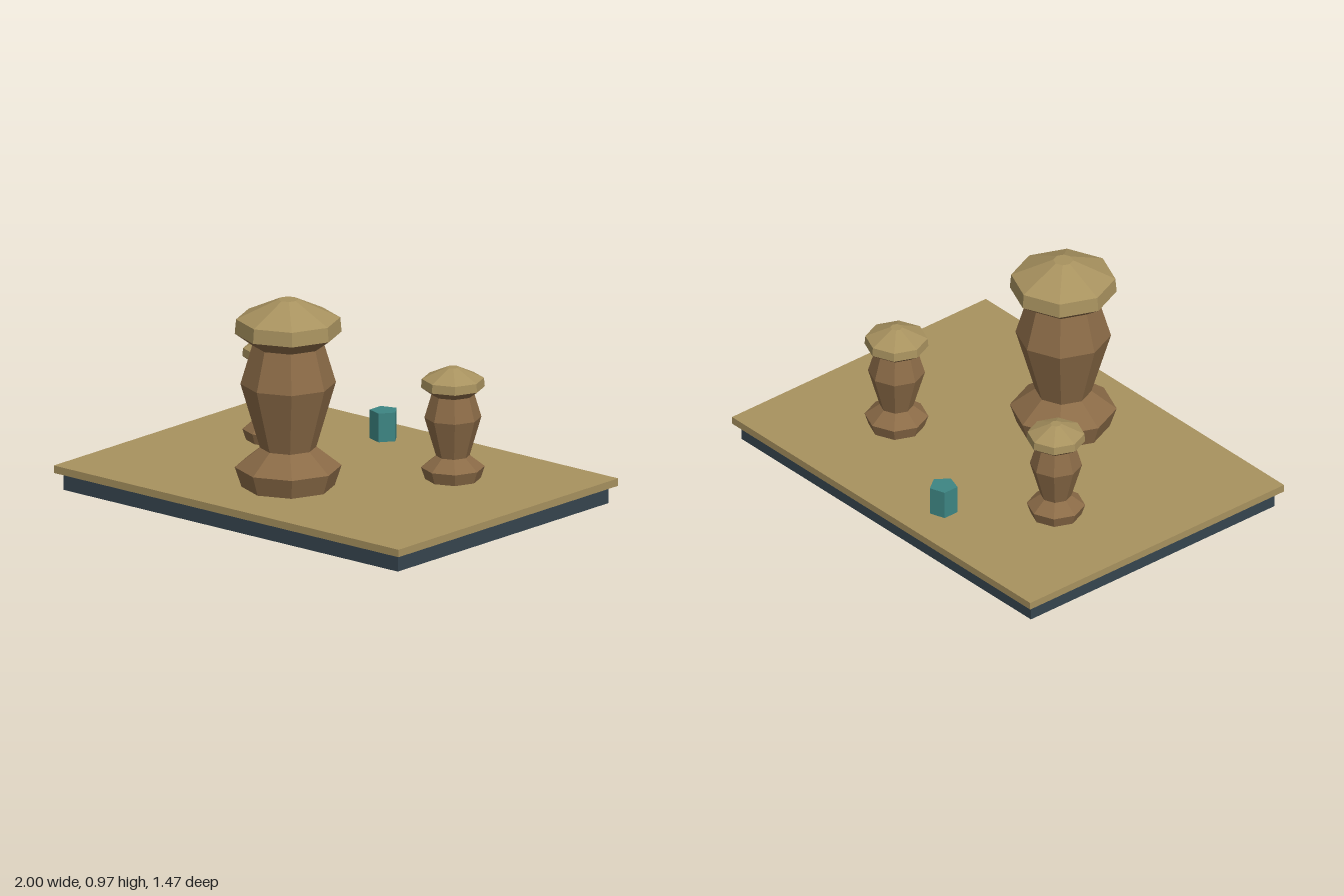
import * as THREE from 'three';

const mat = (name, color) => {
  const m = new THREE.MeshStandardMaterial({ color, flatShading: true });
  m.name = name;
  return m;
};

export function createModel() {
  const slate = mat('slate', 0x36454f);
  const sand = mat('sand', 0xa8925f);
  const clay = mat('clay', 0x8b6b47);
  const teal = mat('teal', 0x3d8583);

  const model = new THREE.Group();
  const add = (parent, name, geometry, material, x = 0, y = 0, z = 0) => {
    const mesh = new THREE.Mesh(geometry, material);
    mesh.name = name;
    mesh.position.set(x, y, z);
    parent.add(mesh);
    return mesh;
  };

  // Stepped plinth: dark base under a wider, thin top slab
  add(model, 'base', new THREE.BoxGeometry(1.94, 0.078, 1.41), slate, 0, 0.039, 0);
  add(model, 'topSlab', new THREE.BoxGeometry(2, 0.034, 1.47), sand, 0, 0.095, 0);

  // Eight-sided urn: flared foot, swelling body and neck, then a domed cap
  const lathe = (pts) => new THREE.LatheGeometry(pts.map(([r, y]) => new THREE.Vector2(r, y)), 8);
  const bodyGeometry = lathe([
    [0, 0], [0.205, 0], [0.235, 0.09], [0.124, 0.177],
    [0.21, 0.47], [0.158, 0.645], [0.235, 0.7],
  ]);
  const capGeometry = lathe([[0, 0.7], [0.235, 0.7], [0.229, 0.765], [0.044, 0.852], [0, 0.852]]);

  const urns = [
    ['largeUrn', 0, 0.32, 1],
    ['leftUrn', 0.47, -0.24, 0.597],
    ['rightUrn', -0.53, -0.18, 0.547],
  ];
  for (const [name, x, z, scale] of urns) {
    const urn = new THREE.Group();
    urn.name = name;
    urn.position.set(x, 0.12, z);
    urn.scale.setScalar(scale);
    add(urn, 'urnBody', bodyGeometry, clay);
    add(urn, 'urnCap', capGeometry, sand);
    model.add(urn);
  }

  // Small five-sided post at the back, one corner towards +x
  const post = new THREE.CylinderGeometry(0.064, 0.064, 0.131, 5, 1, false, Math.PI / 2);
  add(model, 'post', post, teal, -0.18, 0.1775, -0.53);

  return model;
}
